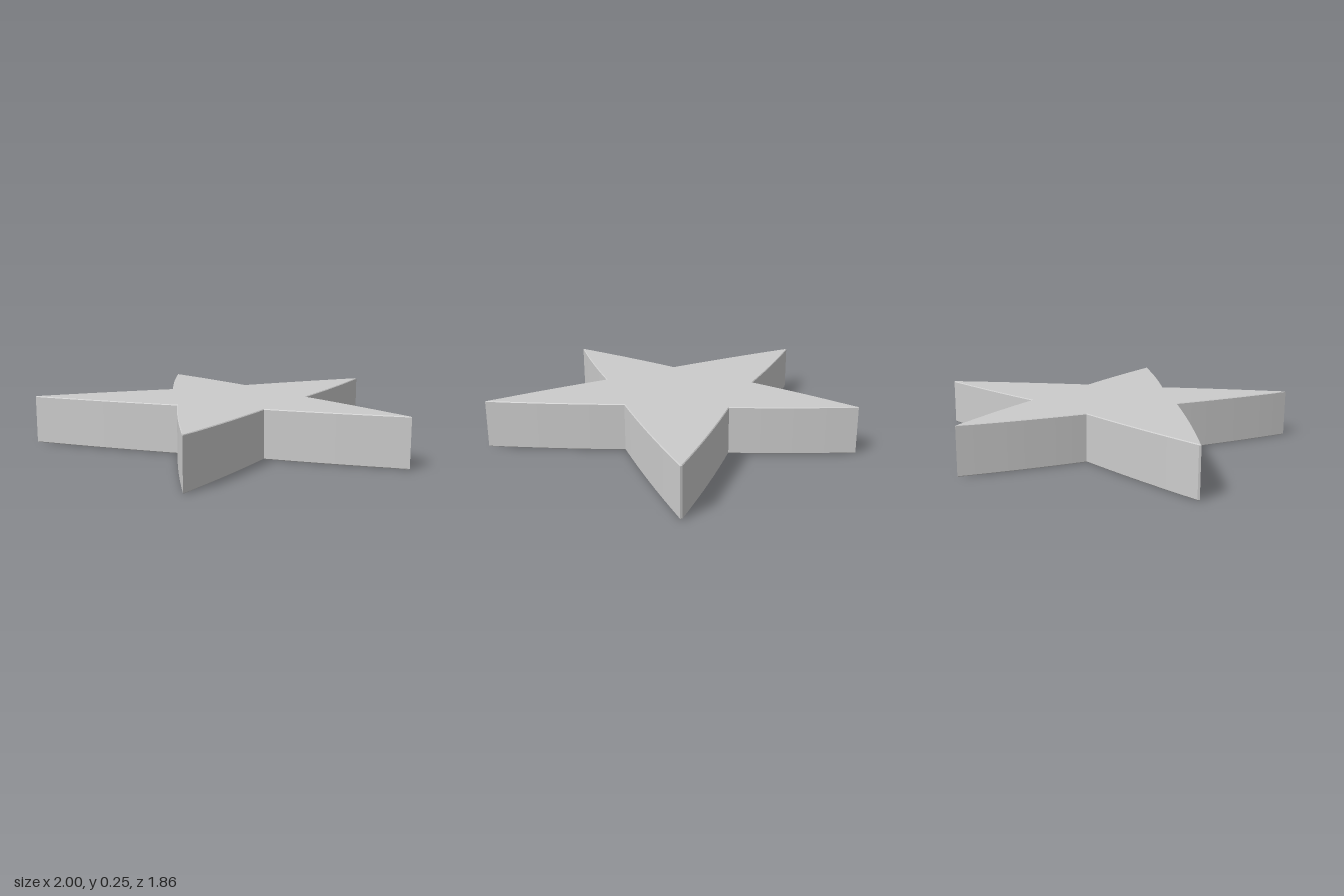
import * as THREE from 'three';

const HEIGHT = 0.255, BEVEL = 0.004, BULGE = 0.008;

// Right half of the outline as [x, z], from the rear tip to the front notch;
// true marks an edge that bows outward on its way to the next point.
const half = [
  [0, -0.93, true], [0.226, -0.305, true], [0.993, -0.33, false], [1, -0.322, true],
  [0.364, 0.218, true], [0.562, 0.925, true], [0, 0.49, true],
];

function starShape() {
  // Mirror the half outline to close the star
  const points = [...half];
  for (let i = half.length - 2; i > 0; i--) {
    points.push([-half[i][0], half[i][1], half[i - 1][2]]);
  }
  // Mirrored edges take the flag of the edge they reflect
  points[half.length - 1][2] = half[half.length - 2][2];

  const shape = new THREE.Shape();
  shape.moveTo(points[0][0], -points[0][1]);
  points.forEach(([x, z, bowed], i) => {
    const [nx, nz] = points[(i + 1) % points.length];
    if (!bowed) {
      shape.lineTo(nx, -nz);
      return;
    }
    // Control point pushed outward, perpendicular to the edge
    const dx = nx - x, dz = nz - z, length = Math.hypot(dx, dz);
    const push = 2 * BULGE / length;
    shape.quadraticCurveTo((x + nx) / 2 + dz * -push * -1, -((z + nz) / 2 - dx * push), nx, -nz);
  });
  return shape;
}

export function createModel() {
  const group = new THREE.Group();
  group.name = 'star';

  // Thick star plate with finely softened rims
  const geometry = new THREE.ExtrudeGeometry(starShape(), {
    depth: HEIGHT - 2 * BEVEL,
    curveSegments: 8,
    bevelEnabled: true,
    bevelThickness: BEVEL,
    bevelSize: BEVEL,
    bevelOffset: -BEVEL,
    bevelSegments: 1,
  });
  geometry.rotateX(-Math.PI / 2);
  geometry.translate(0, BEVEL, 0);

  const plate = new THREE.Mesh(geometry, new THREE.MeshStandardMaterial({ color: 0xcccccc }));
  plate.name = 'starPlate';
  group.add(plate);
  return group;
}
